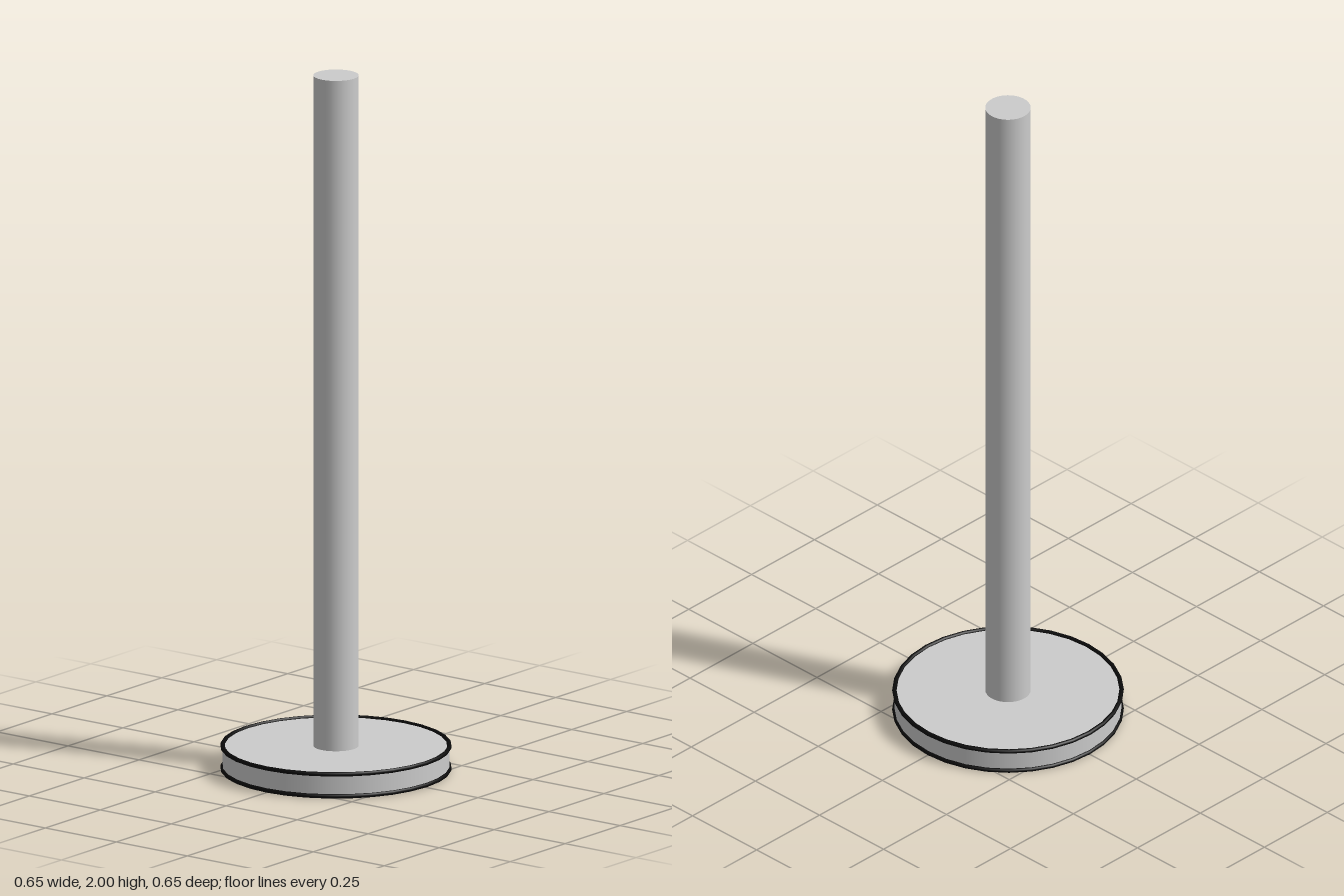
import * as THREE from 'three';

const SIDES = 32;
const BASE_RADIUS = 0.3165, RIM = 0.0063, BASE_HEIGHT = 0.0633, POLE_RADIUS = 0.0633;

export function createModel() {
  const model = new THREE.Group();
  const grey = new THREE.MeshStandardMaterial({ color: 0xcccccc });
  const black = new THREE.MeshStandardMaterial({ color: 0x0a0a0a });

  const add = (name, geometry, material, y) => {
    const mesh = new THREE.Mesh(geometry, material);
    mesh.name = name;
    mesh.position.y = y;
    model.add(mesh);
  };

  // Round base plate
  const baseTop = RIM + BASE_HEIGHT;
  add('base', new THREE.CylinderGeometry(BASE_RADIUS, BASE_RADIUS, BASE_HEIGHT, SIDES), grey, RIM + BASE_HEIGHT / 2);

  // Black trim rings around the lower and upper edges of the base
  const ring = new THREE.TorusGeometry(BASE_RADIUS, RIM, 8, SIDES).rotateX(Math.PI / 2);
  add('lowerTrimRing', ring, black, RIM);
  add('upperTrimRing', ring, black, baseTop);

  // Upright pole
  const poleHeight = 2 - baseTop;
  add('pole', new THREE.CylinderGeometry(POLE_RADIUS, POLE_RADIUS, poleHeight, SIDES), grey, baseTop + poleHeight / 2);

  return model;
}
